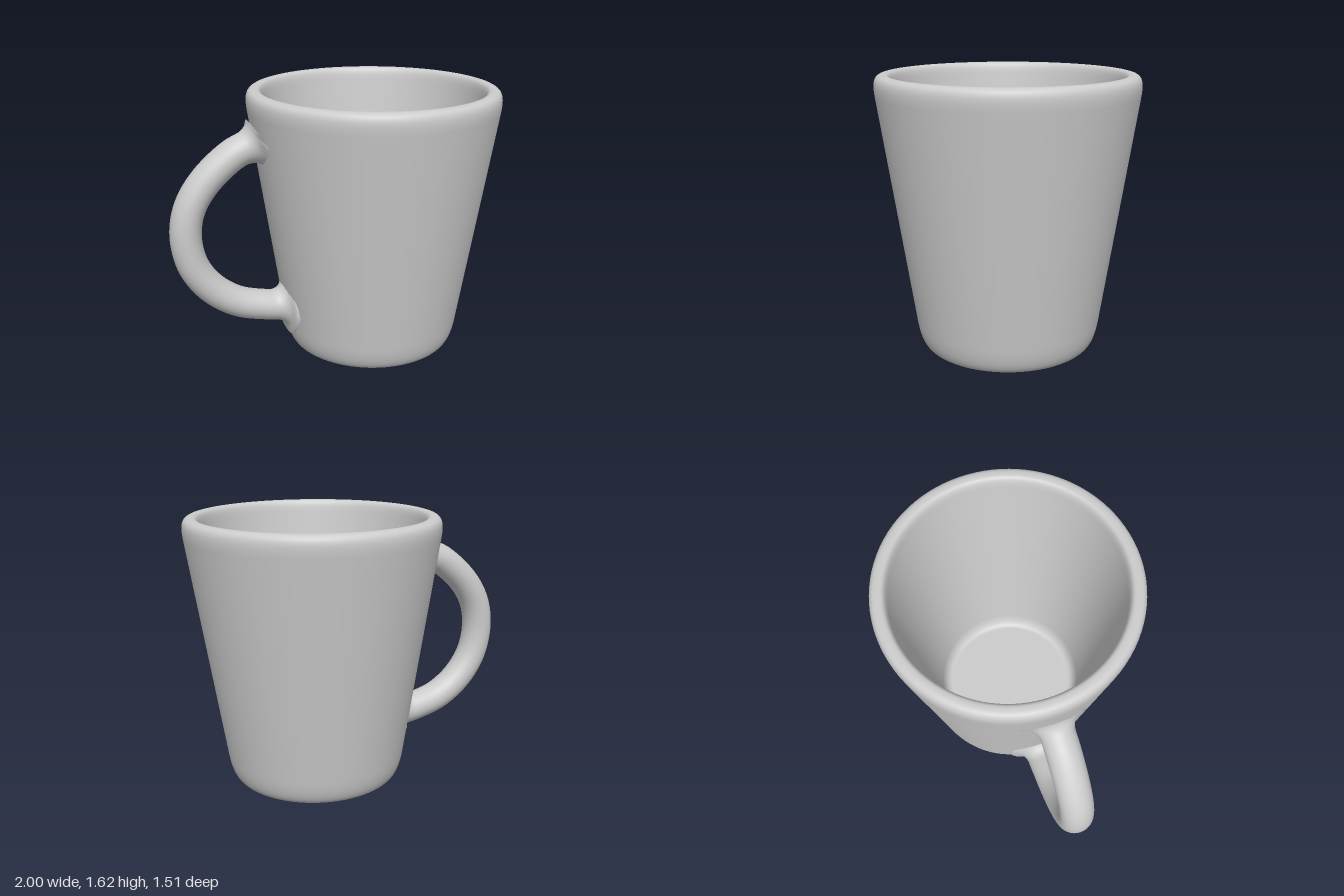
import * as THREE from 'three';
import { mergeVertices } from 'three/addons/utils/BufferGeometryUtils.js';

const CUP_X = 0.245;        // cup axis, offset to balance the handle
const HANDLE_TURN = 0.156;  // handle swings slightly toward the front
const wallRadius = (y) => 0.526 + 0.151 * y;

// Hollow tapered cup with a rounded foot and rim
function cupGeometry() {
  const p = new THREE.Path();
  p.moveTo(0, 0);
  p.lineTo(0.47, 0);
  p.quadraticCurveTo(0.53, 0, wallRadius(0.18), 0.18);
  p.lineTo(wallRadius(1.5), 1.5);
  p.bezierCurveTo(0.762, 1.57, 0.76, 1.62, 0.705, 1.62);
  p.lineTo(0.695, 1.62);
  p.bezierCurveTo(0.66, 1.62, 0.66, 1.57, 0.65, 1.5);
  p.lineTo(0.465, 0.2);
  p.quadraticCurveTo(0.45, 0.11, 0.4, 0.11);
  p.lineTo(0, 0.11);
  return new THREE.LatheGeometry(p.getPoints(12), 96);
}

// Round handle that flares into a fillet where it meets the wall
function handleGeometry() {
  const centres = [
    [-0.46, 1.365], [-0.53, 1.325], [-0.62, 1.28], [-0.78, 1.14], [-0.875, 0.99], [-0.907, 0.82],
    [-0.872, 0.63], [-0.77, 0.475], [-0.62, 0.365], [-0.45, 0.313], [-0.28, 0.285],
  ].map(([x, y]) => new THREE.Vector3((x - CUP_X) / Math.cos(HANDLE_TURN), y, 0));
  const radius = 0.0925, fillet = 0.085;
  const tube = new THREE.TubeGeometry(new THREE.CatmullRomCurve3(centres), 160, radius, 32);
  const pos = tube.attributes.position, nor = tube.attributes.normal;
  const v = new THREE.Vector3(), n = new THREE.Vector3();
  for (let i = 0; i < pos.count; i++) {
    v.fromBufferAttribute(pos, i);
    n.fromBufferAttribute(nor, i);
    v.z *= 1.08;
    // grow the section along a quarter circle as it nears the wall
    const gap = Math.hypot(v.x, v.z) - wallRadius(v.y);
    const t = THREE.MathUtils.clamp(1 - gap / fillet, 0, 1);
    v.addScaledVector(n, fillet * (1 - Math.sqrt(1 - t * t)));
    // keep the buried ends inside the wall thickness
    const r = Math.hypot(v.x, v.z), least = wallRadius(v.y) - 0.015;
    if (r < least) {
      v.x *= least / r;
      v.z *= least / r;
    }
    pos.setXYZ(i, v.x, v.y, v.z);
  }
  tube.deleteAttribute('normal');
  tube.deleteAttribute('uv');
  const smooth = mergeVertices(tube, 1e-5);
  smooth.computeVertexNormals();
  return smooth;
}

export function createModel() {
  const material = new THREE.MeshStandardMaterial({ color: 0xcccccc });
  const mug = new THREE.Group();
  mug.name = 'mug';

  const cup = new THREE.Mesh(cupGeometry(), material);
  cup.name = 'cup';
  cup.position.x = CUP_X;

  const handle = new THREE.Mesh(handleGeometry(), material);
  handle.name = 'handle';
  handle.position.x = CUP_X;
  handle.rotation.y = HANDLE_TURN;

  mug.add(cup, handle);
  return mug;
}
